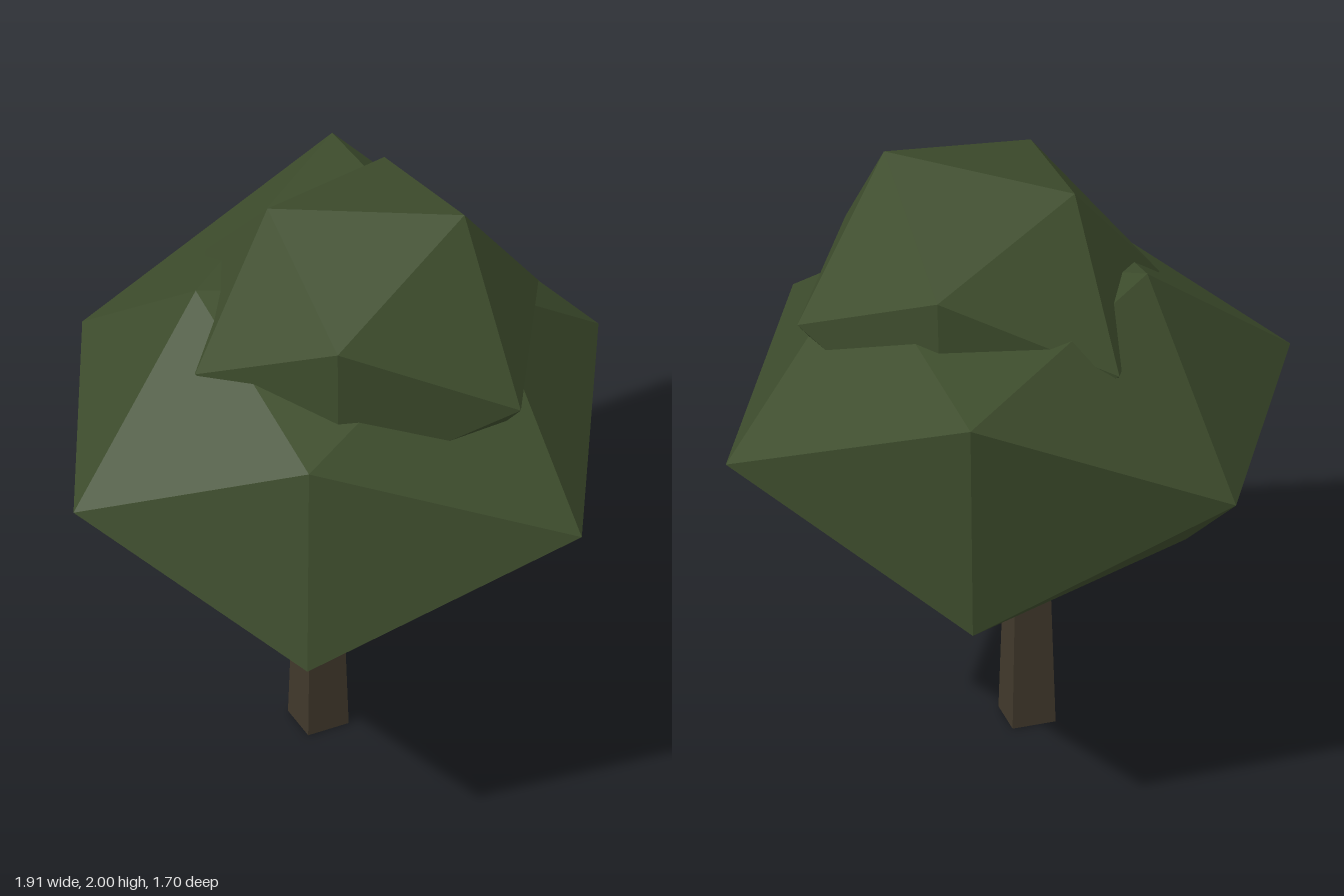
import * as THREE from 'three';
import { ConvexGeometry } from 'three/addons/geometries/ConvexGeometry.js';

// Each crown is an irregular 12-cornered, 20-sided hull: [x, y, z]
const LOWER_CROWN = [
  [-0.39, 1.66, 0.24], [0.37, 1.65, -0.25],                                       // top ridge
  [0.28, 1.47, 0.64], [-0.51, 1.59, -0.75],                                       // shoulders
  [-0.96, 1.15, 0], [-0.46, 1.15, 0.845], [0.95, 1.15, 0.105], [0.41, 1.15, -0.85], // waist
  [0.35, 0.8, 0.76], [-0.46, 0.79, -0.68],                                        // lower shoulders
  [-0.49, 0.695, 0.31], [0.38, 0.70, -0.2],                                       // bottom ridge
];
const UPPER_CROWN = [
  [-0.22, 1.955, 0.09], [0.35, 2.0, -0.16],
  [0.26, 1.8, 0.44], [-0.16, 1.8, -0.5],
  [-0.575, 1.52, -0.11], [-0.26, 1.52, 0.45], [0.7, 1.52, 0.065], [0.39, 1.52, -0.53],
  [0.25, 1.26, 0.42], [-0.16, 1.25, -0.48],
  [-0.22, 1.08, 0.09], [0.34, 1.06, -0.16],
];

export function createModel() {
  const model = new THREE.Group();
  model.name = 'tree';

  const leafGreen = new THREE.MeshStandardMaterial({ color: 0x3e4d2d });
  leafGreen.name = 'leafGreen';
  const barkBrown = new THREE.MeshStandardMaterial({ color: 0x40382b });
  barkBrown.name = 'barkBrown';

  const add = (name, geometry, material) => {
    const mesh = new THREE.Mesh(geometry, material);
    mesh.name = name;
    model.add(mesh);
    return mesh;
  };

  // Foliage, faceted
  const crown = (name, corners) =>
    add(name, new ConvexGeometry(corners.map((c) => new THREE.Vector3(...c))), leafGreen);
  crown('lowerCrown', LOWER_CROWN);
  crown('upperCrown', UPPER_CROWN);

  // Tapered four-sided trunk, slightly turned and off centre
  const height = 0.685;
  const trunkGeometry = new THREE.CylinderGeometry(0.076, 0.1, height, 4).toNonIndexed();
  trunkGeometry.computeVertexNormals();
  const trunk = add('trunk', trunkGeometry, barkBrown);
  trunk.position.set(-0.054, height / 2, 0.055);
  trunk.rotation.y = 0.24;

  return model;
}
